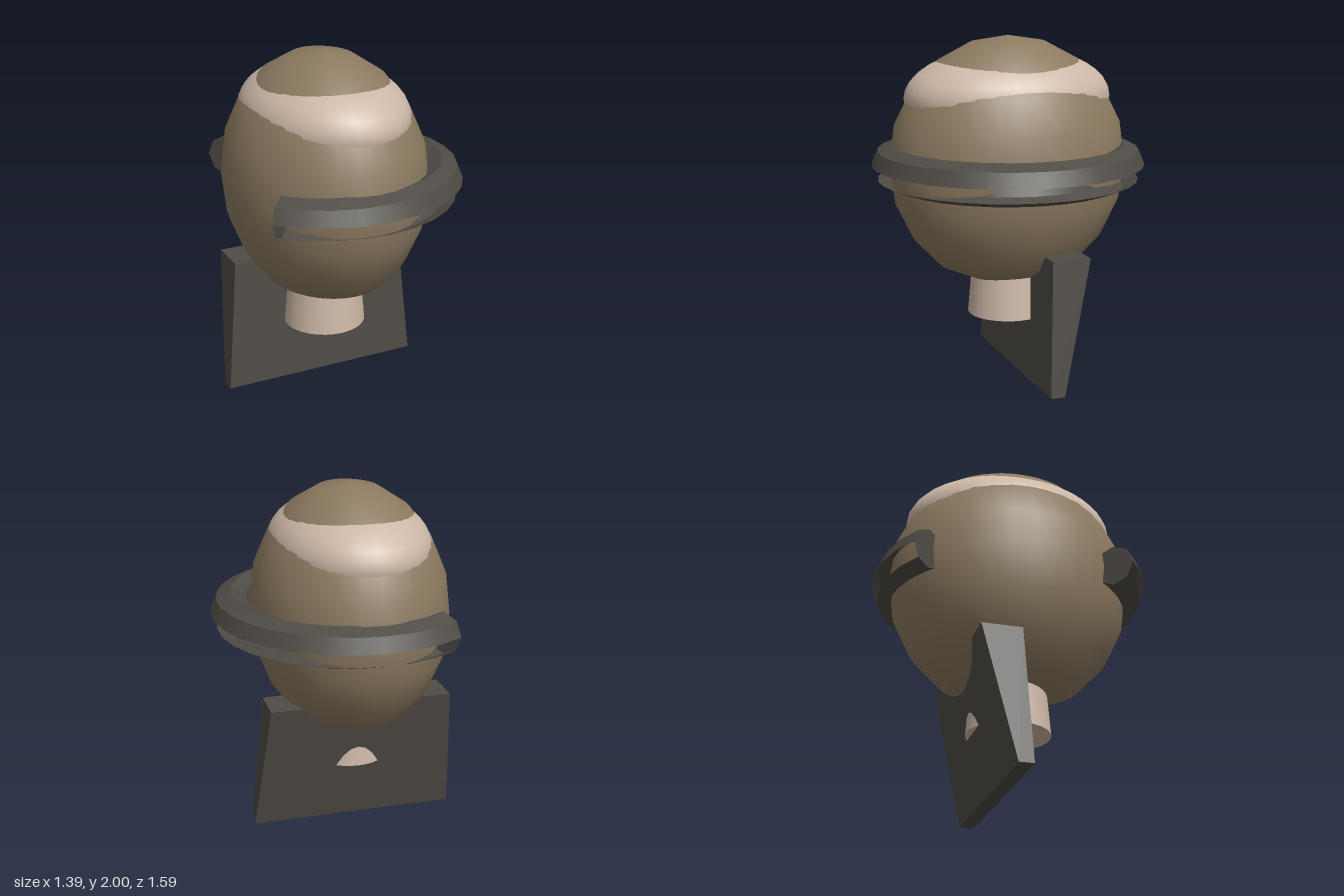
import * as THREE from 'three';
import { mergeGeometries } from 'three/addons/utils/BufferGeometryUtils.js';

const CX = -0.1; // the head, neck and visor share this axis

export function createModel() {
  const model = new THREE.Group();
  const mat = (name, color, side = THREE.FrontSide) => {
    const m = new THREE.MeshStandardMaterial({ color, side });
    m.name = name;
    return m;
  };
  const brown = mat('brown', 0x8c7a60);
  const skin = mat('pale skin', 0xcdb8a7);
  const dark = mat('dark grey', 0x4f4b45, THREE.DoubleSide);
  const add = (name, geometry, material, x = CX, y = 0, z = 0) => {
    const mesh = new THREE.Mesh(geometry, material);
    mesh.name = name;
    mesh.position.set(x, y, z);
    model.add(mesh);
    return mesh;
  };

  // Egg-shaped head, deeper than it is wide
  const profile = [
    [0, 0.565], [0.175, 0.585], [0.335, 0.67], [0.46, 0.835], [0.54, 1.04], [0.565, 1.27],
    [0.54, 1.5], [0.46, 1.695], [0.335, 1.86], [0.175, 1.965], [0, 2],
  ].map(([r, y]) => new THREE.Vector2(r, y));
  add('head', new THREE.LatheGeometry(profile, 32), brown).scale.z = 0.7 / 0.565;

  // Inner brow that shows through at the front and back of the head
  add('brow', new THREE.SphereGeometry(1, 32, 18), skin, CX, 1.65).scale.set(0.457, 0.285, 0.612);

  // Neck
  add('neck', new THREE.CylinderGeometry(0.205, 0.24, 0.4, 32), skin, CX, 0.56);

  // Hollow octagonal visor ring, open at one side, with a slot along its lower outer face
  const R = 0.675, r = 0.12, start = -Math.PI / 4, sweep = THREE.MathUtils.degToRad(259.3);
  const corner = (k) => new THREE.Vector2(R + r * Math.cos(k * Math.PI / 4), r * Math.sin(k * Math.PI / 4));
  const parts = [];
  for (let k = 0; k < 7; k++) {
    parts.push(new THREE.LatheGeometry([corner(k), corner(k + 1)], 22, start, sweep));
  }
  for (const phi of [start, start + sweep]) {
    parts.push(new THREE.CircleGeometry(r, 8).translate(R, 0, 0).rotateY(phi - Math.PI / 2));
  }
  add('visorRing', mergeGeometries(parts), dark, CX, 1.26);

  // Back plate, wider at the foot and thicker at the top
  const plate = new THREE.BoxGeometry(1, 1, 1);
  const p = plate.attributes.position;
  for (let i = 0; i < p.count; i++) {
    const top = p.getY(i) > 0, front = p.getZ(i) > 0;
    const z = top ? (front ? -0.07 : -0.3) : (front ? -0.035 : -0.12);
    p.setXYZ(i, p.getX(i) * (top ? 1.06 : 1.2), top ? 0.78 : 0, z);
  }
  plate.computeVertexNormals();
  add('backPlate', plate, dark);

  return model;
}
